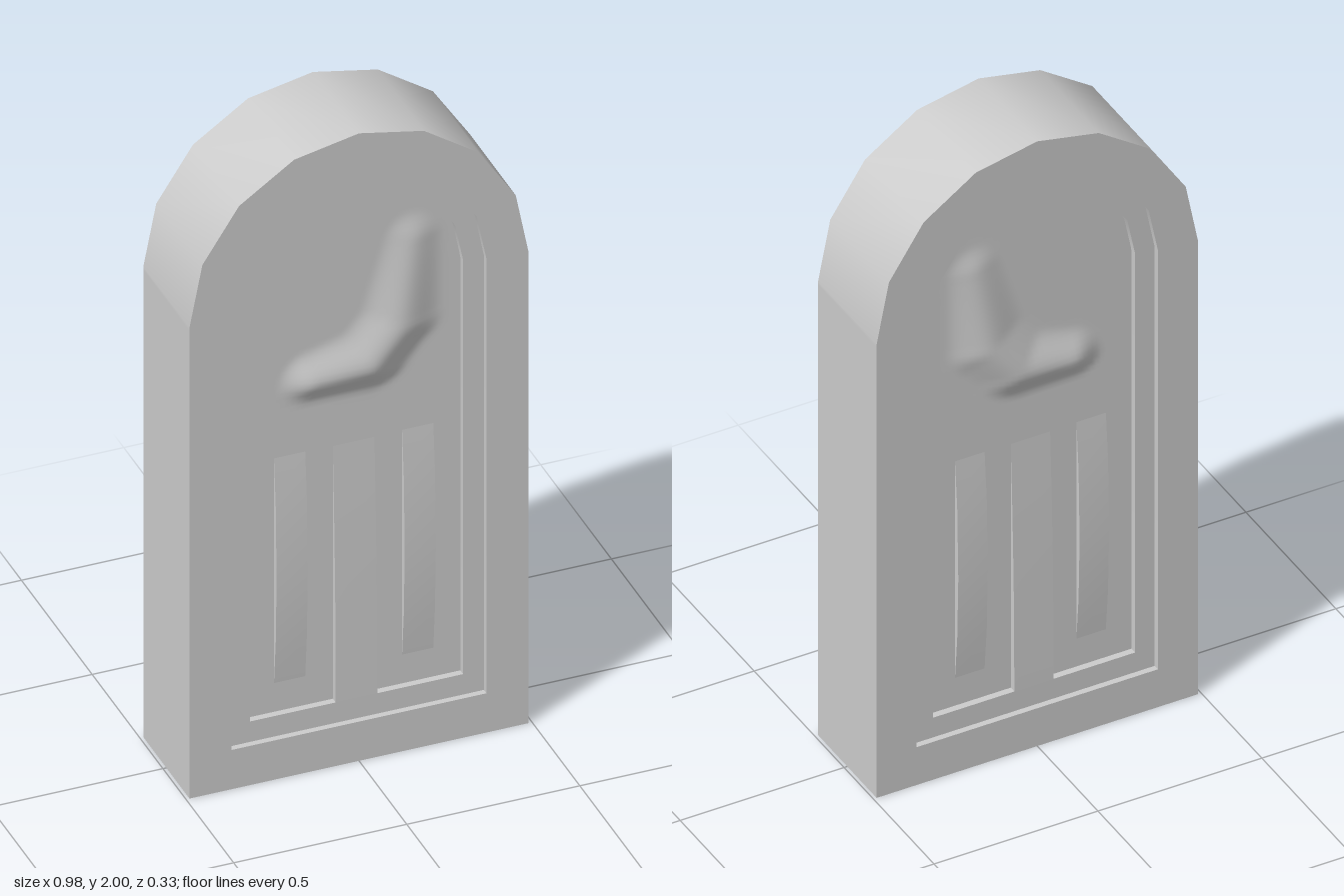
import * as THREE from 'three';
import { toCreasedNormals } from 'three/addons/utils/BufferGeometryUtils.js';

const FACE = 0.163, BAND = 0.145, PANEL = 0.125; // half thicknesses
const OUTER = { w: 0.49, bottom: 0, base: 1.5, rise: 0.5 };
const MIDDLE = { w: 0.368, bottom: 0.125, base: 1.51, rise: 0.37 };
const INNER = { w: 0.308, bottom: 0.19, base: 1.51, rise: 0.305 };

// Round-headed outline with an eight-sided arch
function outline({ w, bottom, base, rise }) {
  const pts = [[-w, bottom], [w, bottom], [w, base - 0.01]];
  for (let i = 0; i <= 8; i++) {
    const a = (i / 8) * Math.PI;
    pts.push([w * Math.cos(a), base + rise * Math.sin(a)]);
  }
  pts.push([-w, base - 0.01]);
  return pts.map(([x, y]) => new THREE.Vector2(x, y));
}

// Arched frame with an arched opening, centred on z = 0
function ring(outer, inner, half) {
  const shape = new THREE.Shape(outline(outer));
  shape.holes.push(new THREE.Path(outline(inner).reverse()));
  const g = new THREE.ExtrudeGeometry(shape, { depth: 2 * half, bevelEnabled: false });
  g.translate(0, 0, -half);
  return toCreasedNormals(g, 0.5);
}

// Half width of the inner panel at a given height
function halfWidth(y) {
  const { w, base, rise } = INNER;
  if (y <= base) return w;
  for (let i = 0; i < 4; i++) {
    const a = (i * Math.PI) / 8, b = ((i + 1) * Math.PI) / 8;
    const y0 = base + rise * Math.sin(a), y1 = base + rise * Math.sin(b);
    if (y <= y1) return w * THREE.MathUtils.lerp(Math.cos(a), Math.cos(b), (y - y0) / (y1 - y0));
  }
  return 0;
}

// Soft crescent-shaped swelling: x, y, height, spread along its ridge
const RIDGE = [[-0.12, 1.22, 0.03, 0.1], [0.04, 1.235, 0.036, 0.13], [0.13, 1.34, 0.03, 0.13], [0.17, 1.6, 0.014, 0.09]];
function swelling(x, y) {
  let h = 0;
  for (let i = 0; i < RIDGE.length - 1; i++) {
    const [ax, ay, ah, as] = RIDGE[i], [bx, by, bh, bs] = RIDGE[i + 1];
    const dx = bx - ax, dy = by - ay;
    const t = THREE.MathUtils.clamp(((x - ax) * dx + (y - ay) * dy) / (dx * dx + dy * dy), 0, 1);
    const px = x - ax - t * dx, py = y - ay - t * dy;
    // the underside falls away more steeply than the top
    const d = Math.hypot(px, py < 0 ? py * 1.4 : py) / (as + t * (bs - as));
    h = Math.max(h, (ah + t * (bh - ah)) * (1 - THREE.MathUtils.smoothstep(d, 0, 1)));
  }
  return h;
}

// Sunken panel with the swelling; side is 1 for front, -1 for back
function panel(side) {
  const top = INNER.base + INNER.rise;
  const g = new THREE.PlaneGeometry(2, 1, 40, 100);
  const p = g.attributes.position;
  for (let i = 0; i < p.count; i++) {
    const y = INNER.bottom + (p.getY(i) + 0.5) * (top - INNER.bottom);
    const x = p.getX(i) * halfWidth(Math.min(y, top - 1e-4));
    p.setXYZ(i, x, y, side * (PANEL + swelling(x, y)));
  }
  if (side < 0) g.index.array.reverse();
  g.computeVertexNormals();
  return g;
}

// Upright rib standing out of both panels, from [y, height] pairs
function rib(profile, width) {
  const pts = profile.map(([y, h]) => new THREE.Vector2(PANEL + h, y));
  const back = profile.map(([y, h]) => new THREE.Vector2(-PANEL - h, y)).reverse();
  const g = new THREE.ExtrudeGeometry(new THREE.Shape([...pts, ...back]), { depth: width, bevelEnabled: false });
  g.translate(0, 0, -width / 2);
  g.rotateY(Math.PI / 2);
  return toCreasedNormals(g, 0.5);
}

export function createModel() {
  const model = new THREE.Group();
  model.name = 'archedSlab';
  const stone = new THREE.MeshStandardMaterial({ color: 0xcccccc });
  stone.name = 'grey stone';
  const add = (name, geometry, x = 0) => {
    const mesh = new THREE.Mesh(geometry, stone);
    mesh.name = name;
    mesh.position.x = x;
    model.add(mesh);
  };

  // Stepped frame
  add('outerFrame', ring(OUTER, MIDDLE, FACE));
  add('innerBand', ring(MIDDLE, INNER, BAND));

  // Relief panels
  add('frontPanel', panel(1));
  add('backPanel', panel(-1));

  // Central tongue and the pair of side ribs
  add('centreTongue', rib([[0.19, 0.02], [0.55, 0.016], [0.8, 0.008], [1.02, -0.001]], 0.12));
  const ribProfile = [[0.27, -0.001], [0.42, 0.012], [0.62, 0.018], [0.85, 0.012], [1.01, -0.001]];
  for (const s of [-1, 1]) add(s > 0 ? 'leftRib' : 'rightRib', rib(ribProfile, 0.09), s * 0.185);

  return model;
}
